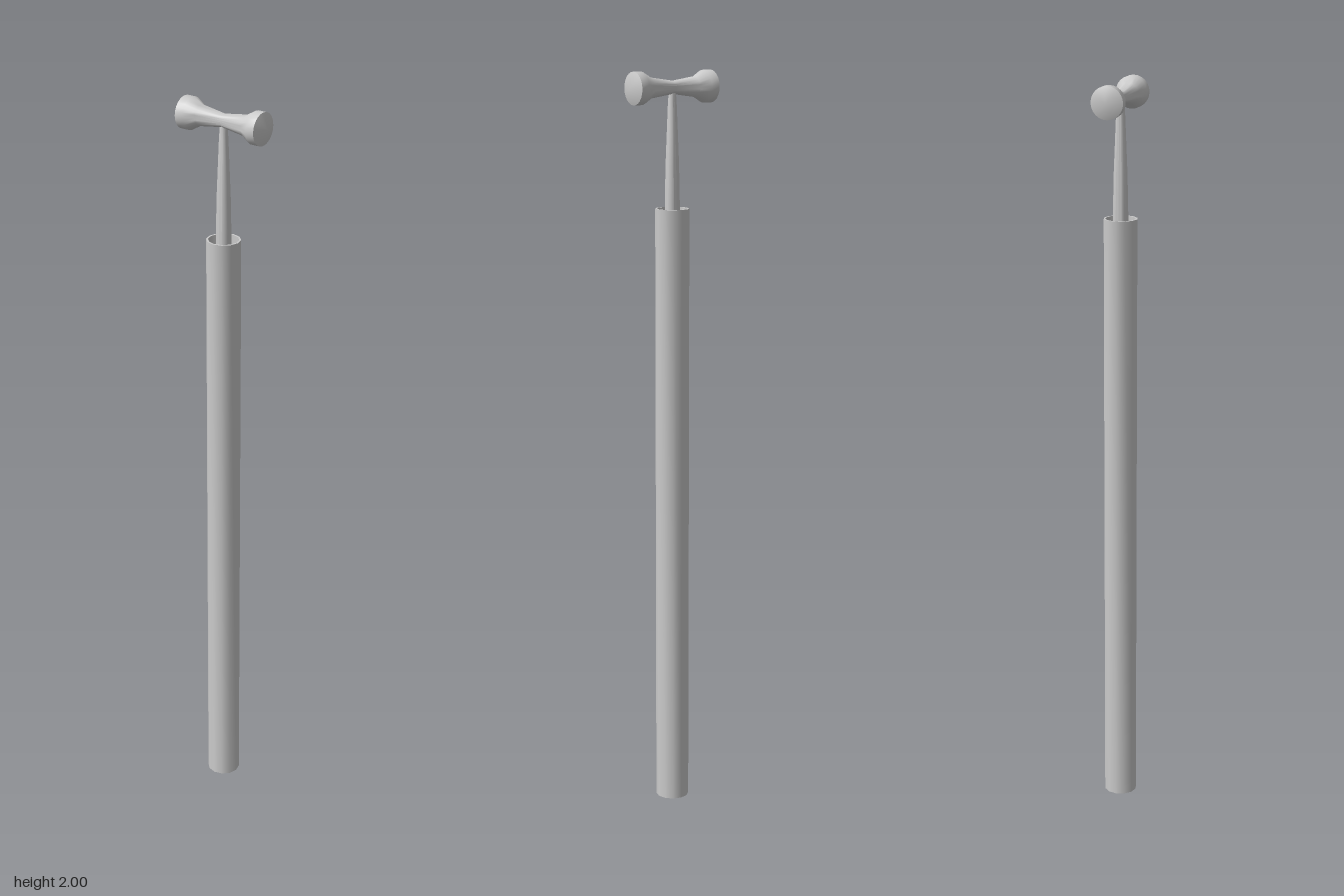
import * as THREE from 'three';
import { toCreasedNormals } from 'three/addons/utils/BufferGeometryUtils.js';

const material = new THREE.MeshStandardMaterial({ color: 0xcccccc });

// Turned part from [radius, height] points, listed upward on the outside
function turned(name, profile, sides) {
  const points = profile.map(([r, y]) => new THREE.Vector2(r, y));
  const geometry = toCreasedNormals(new THREE.LatheGeometry(points, sides), 0.7);
  const mesh = new THREE.Mesh(geometry, material);
  mesh.name = name;
  return mesh;
}

export function createModel() {
  const group = new THREE.Group();
  group.name = 'doubleHeadedMallet';

  // Hollow handle, open at both ends
  group.add(turned('handleTube', [
    [0.04, 0], [0.045, 0], [0.045, 1.645], [0.04, 1.645], [0.04, 0],
  ], 12));

  // Tapered neck rising out of the handle
  group.add(turned('neckRod', [
    [0, 1.4], [0.02, 1.4], [0.02, 1.66], [0.018, 1.76], [0.012, 1.91], [0.009, 1.955], [0, 1.955],
  ], 16));

  // Waisted head with a flared, pointed end on each side
  const half = [[0.017, 0], [0.027, 0.07], [0.0425, 0.097], [0.0425, 0.12], [0, 0.135]];
  const mirrored = half.slice(1).reverse().map(([r, y]) => [r, -y]);
  const head = turned('head', [...mirrored, ...half], 24);
  head.rotation.x = Math.PI / 2;
  head.position.y = 1.9575;
  group.add(head);

  return group;
}
